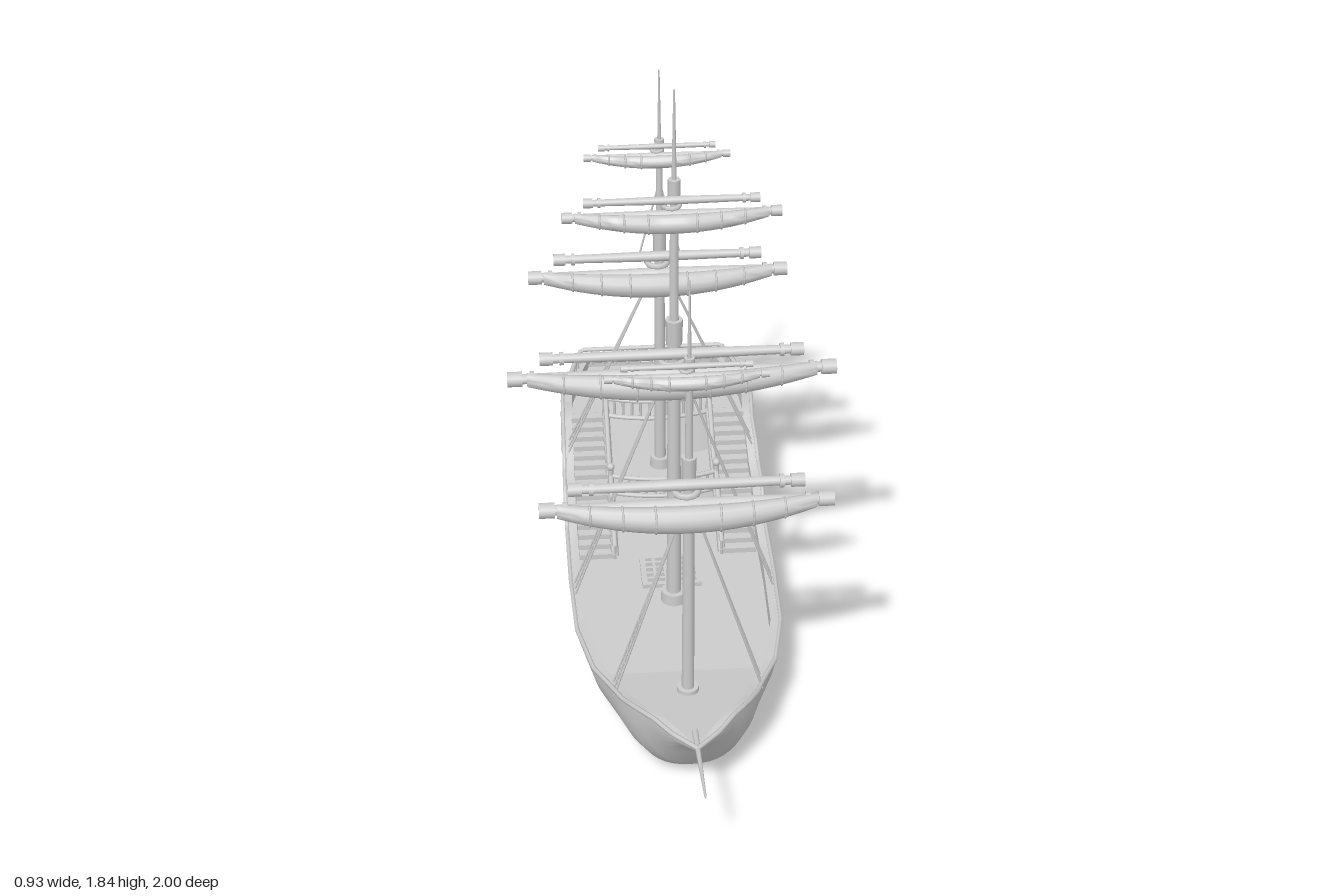
import * as THREE from 'three';
import { toCreasedNormals } from 'three/addons/utils/BufferGeometryUtils.js';

const mat = new THREE.MeshStandardMaterial({ color: 0xcccccc, side: THREE.DoubleSide });
const V = (x, y, z) => new THREE.Vector3(x, y, z);

function add(parent, name, geo, x = 0, y = 0, z = 0) {
  const m = new THREE.Mesh(geo, mat);
  m.name = name;
  m.position.set(x, y, z);
  parent.add(m);
  return m;
}
// Skin over rows of points
function loft(rows, crease = 0.6) {
  const n = rows[0].length, idx = [];
  for (let i = 0; i < rows.length - 1; i++)
    for (let j = 0; j < n - 1; j++) {
      const a = i * n + j, b = a + n;
      idx.push(a, a + 1, b, a + 1, b + 1, b);
    }
  const g = new THREE.BufferGeometry().setFromPoints(rows.flat());
  g.setIndex(idx);
  return toCreasedNormals(g, crease);
}
// Straight round bar between two points
function bar(parent, name, a, b, r0, r1 = r0, sides = 6) {
  const d = b.clone().sub(a);
  const m = add(parent, name, new THREE.CylinderGeometry(r1, r0, d.length(), sides));
  m.position.copy(a).addScaledVector(d, 0.5);
  m.quaternion.setFromUnitVectors(V(0, 1, 0), d.normalize());
}
// Bar that follows corner points
function rail(parent, name, pts, r) {
  const path = new THREE.CurvePath();
  for (let i = 1; i < pts.length; i++) path.add(new THREE.LineCurve3(pts[i - 1], pts[i]));
  add(parent, name, new THREE.TubeGeometry(path, pts.length * 5, r, 6));
}

// Hull stations: z, half width, sheer, bottom
const stations = [
  [0.77, 0, 0.26, 0.25], [0.71, 0.065, 0.265, 0.215], [0.65, 0.11, 0.27, 0.14],
  [0.61, 0.14, 0.265, 0.07], [0.57, 0.165, 0.255, 0.03], [0.52, 0.19, 0.24, 0.015],
  [0.45, 0.215, 0.225, 0.01], [0.345, 0.26, 0.21, 0.01], [0.34, 0.262, 0.21, 0.01],
  [0.15, 0.3, 0.202, 0.01], [-0.1, 0.308, 0.2, 0.01], [-0.34, 0.308, 0.21, 0.012],
  [-0.46, 0.308, 0.29, 0.02], [-0.461, 0.308, 0.29, 0.02], [-0.53, 0.306, 0.305, 0.03],
  [-0.59, 0.304, 0.345, 0.045], [-0.69, 0.302, 0.37, 0.07], [-0.72, 0.301, 0.43, 0.08],
  [-0.721, 0.301, 0.435, 0.08], [-0.78, 0.298, 0.435, 0.095], [-0.88, 0.27, 0.428, 0.11],
  [-0.905, 0.263, 0.426, 0.19], [-0.935, 0.255, 0.424, 0.285], [-0.978, 0.242, 0.421, 0.29],
  [-0.984, 0.24, 0.42, 0.365], [-1, 0.235, 0.42, 0.375],
];
// Deck height steps up from waist to quarterdeck to poop; the foredeck slopes to the bow
function deckHeight(z) {
  if (z > 0.342) return 0.185 + (z - 0.345) * 0.17;
  if (z > -0.4605) return 0.15;
  return z > -0.7205 ? 0.27 : 0.39;
}
// Section exponent: finer at the bow, boxy at the stern
function fullness(z) {
  if (z > -0.8) return 0.75 + 0.3 * Math.max(0, z - 0.3);
  return Math.max(0.3, 0.75 + 3 * (z + 0.8));
}

function buildHull(ship) {
  const rows = stations.map(([z, w, s, b]) => {
    const half = [], h = Math.min(s - b, 0.2), inner = Math.max(w - 0.03, 0);
    const deck = deckHeight(z), e = fullness(z);
    for (let i = 0; i <= 12; i++) {
      const a = (i / 12) * Math.PI / 2;
      half.push([w * Math.sin(a) ** e, b + h * (1 - Math.cos(a))]);
    }
    half.push([w, s], [inner, s], [inner, deck], [0, deck]);
    const port = half.slice(1).reverse().map(([x, y]) => V(-x, y, z));
    return [...port, ...half.map(([x, y]) => V(x, y, z))];
  });
  rows.push(rows[rows.length - 1].map(() => V(0, 0.4, -1)));
  add(ship, 'hull', loft(rows));

  // Keel with deadwood under the stern
  const keel = new THREE.Shape([[0.56, 0.02], [0.5, 0], [-0.76, 0], [-0.765, 0.1], [-0.6, 0.06], [-0.3, 0.03]]
    .map(p => new THREE.Vector2(...p)));
  const kg = new THREE.ExtrudeGeometry(keel, { depth: 0.03, bevelEnabled: false });
  kg.rotateY(-Math.PI / 2);
  add(ship, 'keel', kg, 0.015);

  // Mouldings along the sheer and the stern
  for (const s of [-1, 1]) {
    rail(ship, 'gunwale', stations.map(p => V(s * p[1], p[2], p[0])), 0.007);
    rail(ship, 'wale', [V(s * 0.305, 0.335, -0.59), V(s * 0.3, 0.36, -0.78), V(s * 0.24, 0.375, -0.99)], 0.007);
  }
  rail(ship, 'sternMoulding', [V(-0.24, 0.375, -0.99), V(0.24, 0.375, -0.99)], 0.008);
  rail(ship, 'taffrail', [V(-0.235, 0.42, -0.99), V(0.235, 0.42, -0.99)], 0.009);
  bar(ship, 'bowsprit', V(0, 0.245, 0.68), V(0, 0.29, 1), 0.009, 0.003, 8);
}

// Raised-deck front: curved bulkhead, handrail, side stairs
function buildBreak(ship, z, low, high) {
  const g = new THREE.Group();
  g.name = 'deckBreak';
  ship.add(g);
  const edge = (t, y, dz) => V(t * 0.165, y, z + dz + 0.03 * (1 - t * t));
  const ts = Array.from({ length: 13 }, (_, i) => i / 6 - 1);
  add(g, 'bulkhead', loft([
    ts.map(t => edge(t, low, 0.055)), ts.map(t => edge(t, high, 0.015)),
    ts.map(t => V(t * 0.165, high + 0.001, z - 0.01)),
  ]));
  rail(g, 'deckEdge', ts.map(t => edge(t, high, 0.015)), 0.008);
  rail(g, 'handrail', ts.map(t => edge(t, high + 0.06, 0.01)), 0.008);
  for (const t of ts) bar(g, 'baluster', edge(t, high, 0.01), edge(t, high + 0.06, 0.01), 0.005);
  const steps = 7, run = 0.2, rise = high - low;
  for (const s of [-1, 1]) {
    for (let i = 0; i < steps; i++) {
      const h = rise * (i + 1) / steps, d = run / steps;
      add(g, 'step', new THREE.BoxGeometry(0.105, h, d), s * 0.222, low + h / 2, z + run - d * (i + 0.5));
    }
    // Sloping banisters and newel posts
    const foot = V(s * 0.165, low + 0.05, z + run), head = V(s * 0.165, high + 0.065, z + 0.01);
    rail(g, 'banister', [foot, head, V(s * 0.165, high + 0.06, z - 0.05)], 0.008);
    for (let i = 0; i <= 5; i++) {
      const p = foot.clone().lerp(head, i / 5);
      bar(g, 'baluster', p.clone().setY(p.y - 0.07), p, 0.005);
    }
    rail(g, 'stringer', [V(s * 0.165, low + 0.01, z + run), V(s * 0.165, high + 0.01, z)], 0.012);
    add(g, 'newelPost', new THREE.CylinderGeometry(0.008, 0.011, 0.1, 8), s * 0.165, high + 0.04, z + 0.01);
    add(g, 'newelKnob', new THREE.SphereGeometry(0.013, 8, 6), s * 0.165, high + 0.093, z + 0.01);
  }
}

function buildDeckFittings(ship) {
  buildBreak(ship, -0.46, 0.15, 0.27);
  buildBreak(ship, -0.72, 0.27, 0.39);
  // Railing round the poop
  const c = [V(-0.283, 0, -0.77), V(-0.235, 0, -0.975), V(0.235, 0, -0.975), V(0.283, 0, -0.77)];
  rail(ship, 'poopRail', c.map(p => p.clone().setY(0.472)), 0.008);
  [6, 12, 6].forEach((n, k) => {
    for (let i = 0; i <= n; i++) {
      const p = c[k].clone().lerp(c[k + 1], i / n);
      bar(ship, 'poopBaluster', p.clone().setY(0.415), p.clone().setY(0.472), 0.006, 0.004);
    }
  });
  // Hatch grating
  for (let i = 0; i <= 5; i++) {
    const t = i / 5 - 0.5, w = i % 5 ? 0.009 : 0.016;
    add(ship, 'gratingBar', new THREE.BoxGeometry(w, 0.014, 0.146), t * 0.165, 0.157, -0.175);
    add(ship, 'gratingBar', new THREE.BoxGeometry(0.18, 0.013, w), 0, 0.157, -0.175 + t * 0.135);
  }
}

// Yard with a furled sail beneath and a lighter spar above
function buildYard(ship, y, z, half, r) {
  const g = new THREE.Group();
  g.name = 'yard';
  g.position.set(-0.008, y, z);
  ship.add(g);
  const spar = (name, len, rad, dy, dz) => {
    for (const s of [-1, 1]) {
      bar(g, name, V(0, dy, dz), V(s * len, dy, dz), rad, rad * 0.75, 10);
      bar(g, name + 'End', V(s * (len - rad * 2.2), dy, dz), V(s * len, dy, dz), rad * 1.15, rad * 1.15, 10);
      bar(g, name + 'Band', V(s * (len - rad * 4), dy, dz), V(s * (len - rad * 3.3), dy, dz), rad * 1.15, rad * 1.15, 10);
    }
  };
  spar('lowerSpar', half, r * 0.48, 0, r * 0.75);
  spar('upperSpar', half * 0.8, r * 0.42, r * 1.35, r * 0.4);
  const ring = (t, k) => {
    const f = 1 - t * t, rr = r * (0.5 + 0.45 * f) * k;
    return Array.from({ length: 13 }, (_, j) => {
      const a = j / 12 * Math.PI * 2;
      return V(t * half * 0.88, -r * 0.55 * f + Math.sin(a) * rr, r * (0.9 + 0.85 * f) + Math.cos(a) * rr * 0.9);
    });
  };
  const rows = [ring(-1, 0)];
  for (let i = 0; i <= 20; i++) rows.push(ring(i / 10 - 1, 1));
  rows.push(ring(1, 0));
  add(g, 'furledSail', loft(rows, 0.9));
  // Lashings holding the sail to the spar
  for (const t of [-0.75, -0.5, -0.25, 0.25, 0.5, 0.75]) rail(g, 'lashing', ring(t, 1.03), 0.003);
  add(g, 'parrel', new THREE.TorusGeometry(r * 0.8, r * 0.25, 6, 12).rotateX(Math.PI / 2), 0, r * 0.6, 0);
}

function buildMast(ship, { z, foot, cap, top, tip, r, shroudTop, sx, sy, topStay }) {
  const g = new THREE.Group();
  g.name = 'mast';
  ship.add(g);
  bar(g, 'lowerMast', V(0, foot, z), V(0, cap, z), r, r * 0.8, 12);
  bar(g, 'mastCollar', V(0, foot, z), V(0, foot + 0.035, z), r * 1.8, r * 1.7, 12);
  bar(g, 'mastCap', V(0, cap - 0.08, z), V(0, cap, z), r * 1.05, r * 1.15, 8);
  bar(g, 'topmast', V(0, cap, z), V(0, top, z), r * 0.62, r * 0.5, 10);
  bar(g, 'topmastCap', V(0, top - 0.05, z), V(0, top, z), r * 0.8, r * 0.8, 8);
  bar(g, 'pole', V(0, top, z), V(0, tip, z), r * 0.35, r * 0.12, 6);
  // Shrouds with ratlines
  const head = V(0, shroudTop, z);
  for (const s of [-1, 1]) {
    const feet = [0.02, -0.008, -0.036].map(dz => V(s * sx, sy, z + dz));
    feet.forEach(f => bar(g, 'shroud', f, head, 0.003, 0.003, 5));
    for (let i = 1; i < 16; i++)
      bar(g, 'ratline', feet[0].clone().lerp(head, i / 20), feet[2].clone().lerp(head, i / 20), 0.002, 0.002, 4);
    if (topStay) bar(g, 'topmastShroud', V(s * 0.06, cap - 0.08, z), V(0, topStay, z), 0.003, 0.003, 5);
  }
}

export function createModel() {
  const ship = new THREE.Group();
  ship.name = 'sailingShip';
  ship.position.x = 0.008;
  buildHull(ship);
  buildDeckFittings(ship);
  buildMast(ship, { z: 0.455, foot: 0.185, cap: 1.0, top: 1.31, tip: 1.54, r: 0.018, shroudTop: 0.88, sx: 0.21, sy: 0.215 });
  buildMast(ship, { z: -0.043, foot: 0.15, cap: 1.13, top: 1.57, tip: 1.835, r: 0.022, shroudTop: 1.02, sx: 0.297, sy: 0.2 });
  buildMast(ship, { z: -0.59, foot: 0.27, cap: 1.12, top: 1.42, tip: 1.64, r: 0.018, shroudTop: 1.02, sx: 0.29, sy: 0.345, topStay: 1.28 });
  // Lower and upper yards: height, depth, half length, roll radius
  for (const [y, z, half, r] of [
    [0.875, 0.465, 0.395, 0.04], [1.265, 0.46, 0.215, 0.02],
    [0.98, -0.03, 0.465, 0.04], [1.478, -0.035, 0.3, 0.028],
    [0.99, -0.58, 0.39, 0.038], [1.375, -0.585, 0.215, 0.02],
  ]) buildYard(ship, y, z, half, r);
  const root = new THREE.Group();
  root.name = 'model';
  root.add(ship);
  return root;
}
